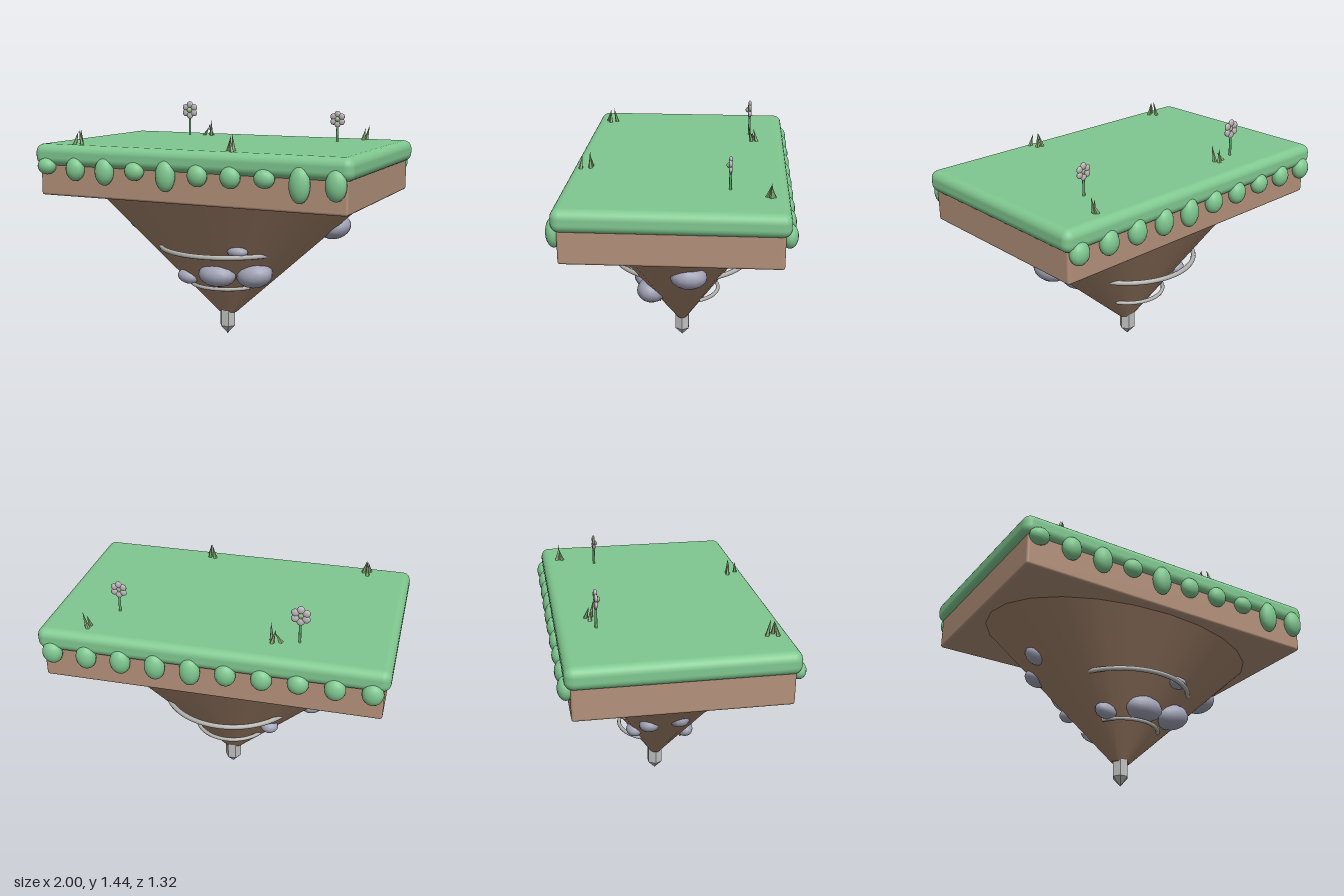
import * as THREE from 'three';
import { RoundedBoxGeometry } from 'three/addons/geometries/RoundedBoxGeometry.js';

const mat = (name, color, extra = {}) => {
  const m = new THREE.MeshStandardMaterial({ color, ...extra });
  m.name = name;
  return m;
};

export function createModel() {
  const root = new THREE.Group();
  root.name = 'floatingIsland';

  const grass = mat('grass green', 0x80c890);
  const soil = mat('soil brown', 0xb3917a);
  const earth = mat('deep earth brown', 0xa6856c);
  const stone = mat('blue grey stone', 0xa3a5b8);
  const metal = mat('ring grey', 0xb4b3b0);
  const crystal = mat('crystal grey', 0xc0c0c0, { flatShading: true });
  const blade = mat('blade green', 0x86a872, { flatShading: true });
  const stemGreen = mat('stem green', 0x62a86c);
  const petal = mat('petal grey', 0xc0b8bc);
  const heart = mat('flower heart green', 0x9cc08c);

  const add = (name, geo, material, pos = [0, 0, 0], parent = root) => {
    const m = new THREE.Mesh(geo, material);
    m.name = name;
    m.position.set(...pos);
    parent.add(m);
    return m;
  };

  // Grass top and soil slab
  add('grassSlab', new RoundedBoxGeometry(2, 0.13, 1.25, 3, 0.05), grass, [0, 1.155, 0]);
  add('soilSlab', new RoundedBoxGeometry(1.94, 0.21, 1.19, 2, 0.015), soil, [0, 1.015, 0]);

  // Tapering oval underside
  const cone = add('underside', new THREE.CylinderGeometry(0.915, 0.06, 0.78, 24, 4), earth, [0, 0.535, 0]);
  cone.scale.z = 0.6;

  // Six-sided crystal tip
  add('crystalShaft', new THREE.CylinderGeometry(0.05, 0.05, 0.105, 6, 1, false, Math.PI / 6), crystal, [0, 0.1075, 0]);
  add('crystalPoint', new THREE.CylinderGeometry(0.05, 0, 0.055, 6, 1, false, Math.PI / 6), crystal, [0, 0.0275, 0]);

  // Grass drips along the front and back edges
  const dripGeo = new THREE.SphereGeometry(1, 16, 12);
  const drips = {
    front: [0.05, 0.07, 0.08, 0.055, 0.09, 0.063, 0.062, 0.053, 0.1, 0.085],
    back: [0.066, 0.066, 0.06, 0.066, 0.068, 0.085, 0.08, 0.075, 0.072, 0.066],
  };
  for (const [side, heights] of Object.entries(drips)) {
    heights.forEach((h, i) => {
      const z = side === 'front' ? 0.615 : -0.615;
      const d = add(side + 'Drip', dripGeo, grass, [-0.91 + i * 0.2022, 1.114 - h * 0.5, z]);
      d.scale.set(0.06, h, 0.045);
    });
  }

  // Stones half buried in the underside: position, radii, roll
  const stoneGeo = new THREE.SphereGeometry(1, 14, 10);
  const stones = [
    [0.03, 0.43, 0.21, 0.122, 0.075, 0.09, 0],
    [0.26, 0.44, 0.17, 0.115, 0.078, 0.09, 0.2],
    [-0.2, 0.385, 0.155, 0.07, 0.045, 0.05, -0.2],
    [0.21, 0.605, 0.31, 0.065, 0.036, 0.045, 0],
    [0.68, 0.725, -0.08, 0.095, 0.07, 0.105, 0.35],
    [-0.61, 0.685, 0.04, 0.072, 0.05, 0.06, -0.4],
    [-0.53, 0.615, -0.12, 0.07, 0.042, 0.06, -0.4],
    [-0.27, 0.45, -0.17, 0.055, 0.042, 0.05, 0],
  ];
  for (const [x, y, z, a, b, c, roll] of stones) {
    const s = add('stone', stoneGeo, stone, [x, y, z]);
    s.scale.set(a, b, c);
    s.rotation.z = roll;
  }

  // Ring arcs on the front and back of the underside
  for (const [y, r, tube] of [[0.577, 0.417, 0.015], [0.342, 0.228, 0.012]]) {
    for (const turn of [0, Math.PI]) {
      const arc = new THREE.TorusGeometry(r, tube, 8, 32, Math.PI * 2 / 3);
      arc.rotateZ(Math.PI / 6).rotateX(Math.PI / 2).rotateY(turn);
      add('ringArc', arc, metal, [0, y, 0]);
    }
  }

  // Grass tufts: blade foot x, z, height, lean x, lean z
  const blades = [
    [-0.75, 0.55, 0.085, 0.015, -0.02], [-0.74, 0.49, 0.1, 0.01, 0.02], [-0.71, 0.53, 0.09, -0.02, 0],
    [0.245, 0.51, 0.09, 0.02, 0.01], [0.28, 0.515, 0.1, -0.01, 0], [0.295, 0.57, 0.08, -0.02, -0.01],
    [-0.375, -0.43, 0.07, 0.04, 0.01], [-0.325, -0.45, 0.085, -0.02, 0.02], [-0.32, -0.42, 0.11, 0.01, 0.02],
    [0.71, -0.5, 0.08, 0.01, -0.02], [0.715, -0.535, 0.09, 0.03, 0.02], [0.725, -0.52, 0.1, 0.02, 0],
  ];
  for (const [x, z, h, lx, lz] of blades) {
    const geo = new THREE.ConeGeometry(0.014, h, 5);
    geo.translate(0, h / 2, 0);
    const b = add('grassBlade', geo, blade, [x, 1.215, z]);
    b.rotation.set(lz / h, 0, -lx / h);
  }

  // Flowers facing forward
  const ball = new THREE.SphereGeometry(1, 12, 8);
  for (const [x, z, headY, s] of [[-0.473, -0.405, 1.385, 1], [0.605, -0.3, 1.358, 0.87]]) {
    const flower = new THREE.Group();
    flower.name = 'flower';
    flower.position.set(x, 0, z);
    root.add(flower);
    const len = headY - 1.2;
    add('stem', new THREE.CylinderGeometry(0.007, 0.008, len, 8), stemGreen, [0, 1.2 + len / 2, 0], flower);
    for (let i = 0; i < 6; i++) {
      const a = Math.PI / 2 + i * Math.PI / 3;
      const p = add('petal', ball, petal, [Math.cos(a) * 0.036 * s, headY + Math.sin(a) * 0.036 * s, 0], flower);
      p.scale.set(0.023 * s, 0.023 * s, 0.011 * s);
    }
    add('flowerHeart', ball, heart, [0, headY, 0.009 * s], flower).scale.setScalar(0.018 * s);
  }

  return root;
}
